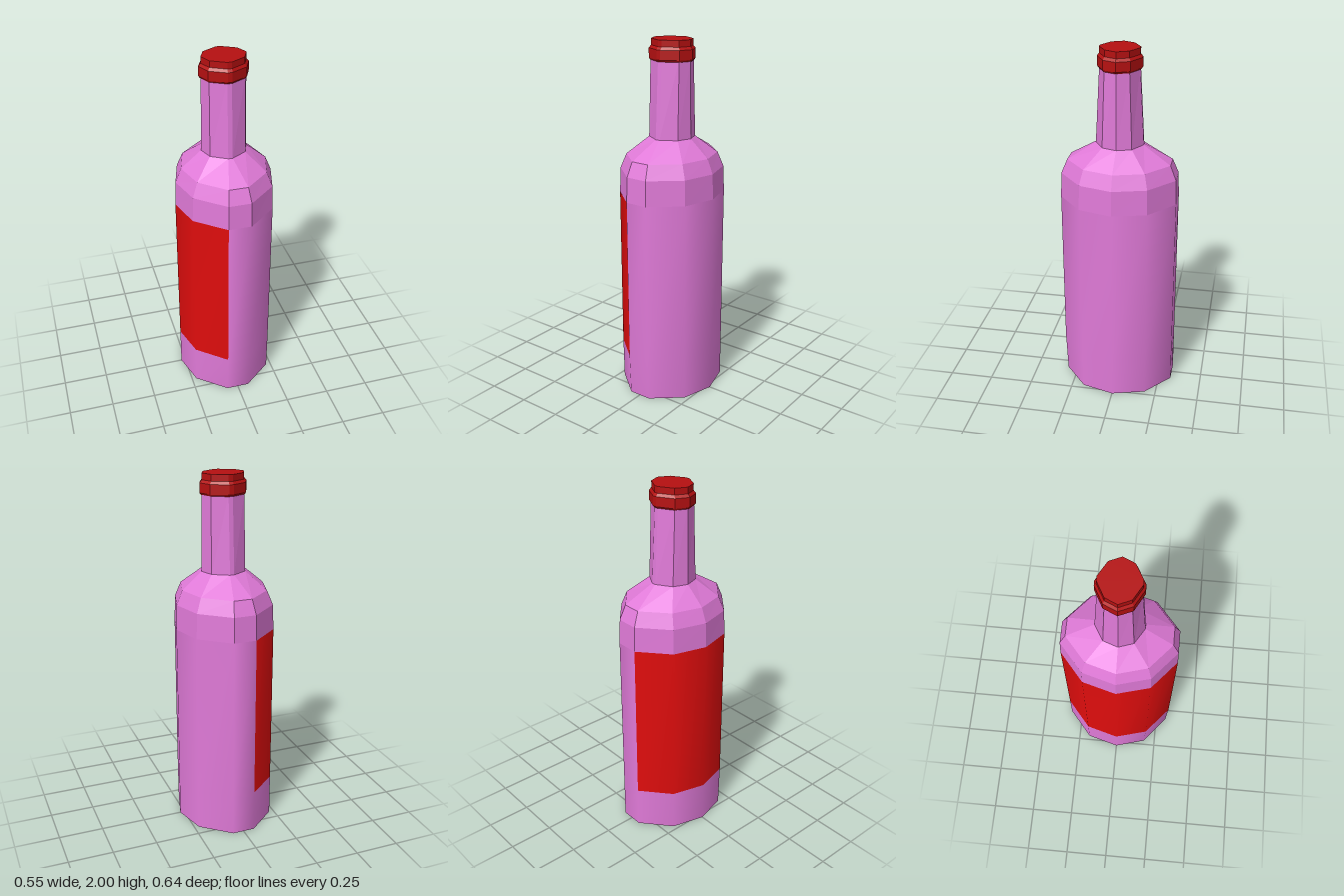
import * as THREE from 'three';

const SIDES = 10;

// Ten-cornered cross-section, mirrored from one quarter: a faces front, b is diagonal, x2 is the side
function ring([y, x0, z0, x1, z1, x2], frontScale = 1) {
  return [
    [x0, z0], [x1, z1], [x2, 0], [x1, -z1], [x0, -z0],
    [-x0, -z0], [-x1, -z1], [-x2, 0], [-x1, z1], [-x0, z0],
  ].map(([x, z]) => [x, y, z > 0 ? z * frontScale : z]);
}

// Skin between rings; material group 1 is used wherever isSecond(band, side) is true
function loft(rings, { smooth = false, top = false, bottom = false, isSecond = null } = {}) {
  const faces = [[], []];
  for (let k = 0; k < rings.length - 1; k++) {
    for (let i = 0; i < SIDES; i++) {
      const a = k * SIDES + i;
      const b = k * SIDES + (i + 1) % SIDES;
      const list = faces[isSecond && isSecond(k, i) ? 1 : 0];
      list.push(a, b, b + SIDES, a, b + SIDES, a + SIDES);
    }
  }
  const last = (rings.length - 1) * SIDES;
  for (let i = 1; i < SIDES - 1; i++) {
    if (top) faces[0].push(last, last + i, last + i + 1);
    if (bottom) faces[0].push(0, i + 1, i);
  }
  const geometry = new THREE.BufferGeometry();
  geometry.setAttribute('position', new THREE.Float32BufferAttribute(rings.flat(2), 3));
  geometry.setIndex([...faces[0], ...faces[1]]);
  if (isSecond) {
    geometry.addGroup(0, faces[0].length, 0);
    geometry.addGroup(faces[0].length, faces[1].length, 1);
  }
  const result = smooth ? geometry : geometry.toNonIndexed();
  result.computeVertexNormals();
  return result;
}

export function createModel() {
  const glass = new THREE.MeshStandardMaterial({ color: 0xe07ad8 });
  glass.name = 'pinkGlass';
  const paper = new THREE.MeshStandardMaterial({ color: 0xe00d0d });
  paper.name = 'redLabel';
  const wax = new THREE.MeshStandardMaterial({ color: 0xb51011 });
  wax.name = 'darkRedCap';

  const model = new THREE.Group();
  model.name = 'bottle';
  const add = (name, geometry, material) => {
    const mesh = new THREE.Mesh(geometry, material);
    mesh.name = name;
    model.add(mesh);
  };

  const girth = [0.064, 0.322, 0.224, 0.186, 0.275];
  const base = ring([0, ...girth], 0.97);
  const shoulderStart = ring([1.16, ...girth]);
  const neckStart = ring([1.475, 0.012, 0.131, 0.097, 0.08, 0.125]);

  // Smooth body, with the label wrapped around its right half
  add('bodyWithLabel', loft(
    [base, ring([0.24, ...girth]), shoulderStart],
    { smooth: true, isSecond: (band, side) => band === 1 && side >= 5 && side <= 8 },
  ), [glass, paper]);

  // Flat underside
  add('underside', loft([base], { bottom: true }), glass);

  // Faceted shoulder
  add('shoulder', loft([
    shoulderStart,
    ring([1.3, 0.062, 0.317, 0.219, 0.183, 0.27]),
    ring([1.38, 0.052, 0.284, 0.19, 0.165, 0.237]),
    neckStart,
  ]), glass);

  // Neck, tapering mostly from front to back
  add('neck', loft([
    neckStart,
    ring([1.9, 0.012, 0.108, 0.094, 0.066, 0.12]),
  ]), glass);

  // Cap with a wider lower band
  add('cap', loft([
    ring([1.888, 0.012, 0.112, 0.096, 0.067, 0.125]),
    ring([1.898, 0.012, 0.12, 0.101, 0.072, 0.133]),
    ring([1.95, 0.012, 0.12, 0.101, 0.072, 0.133]),
    ring([1.965, 0.012, 0.108, 0.091, 0.064, 0.12]),
    ring([2, 0.012, 0.108, 0.091, 0.064, 0.12]),
  ], { top: true, bottom: true }), wax);

  return model;
}
